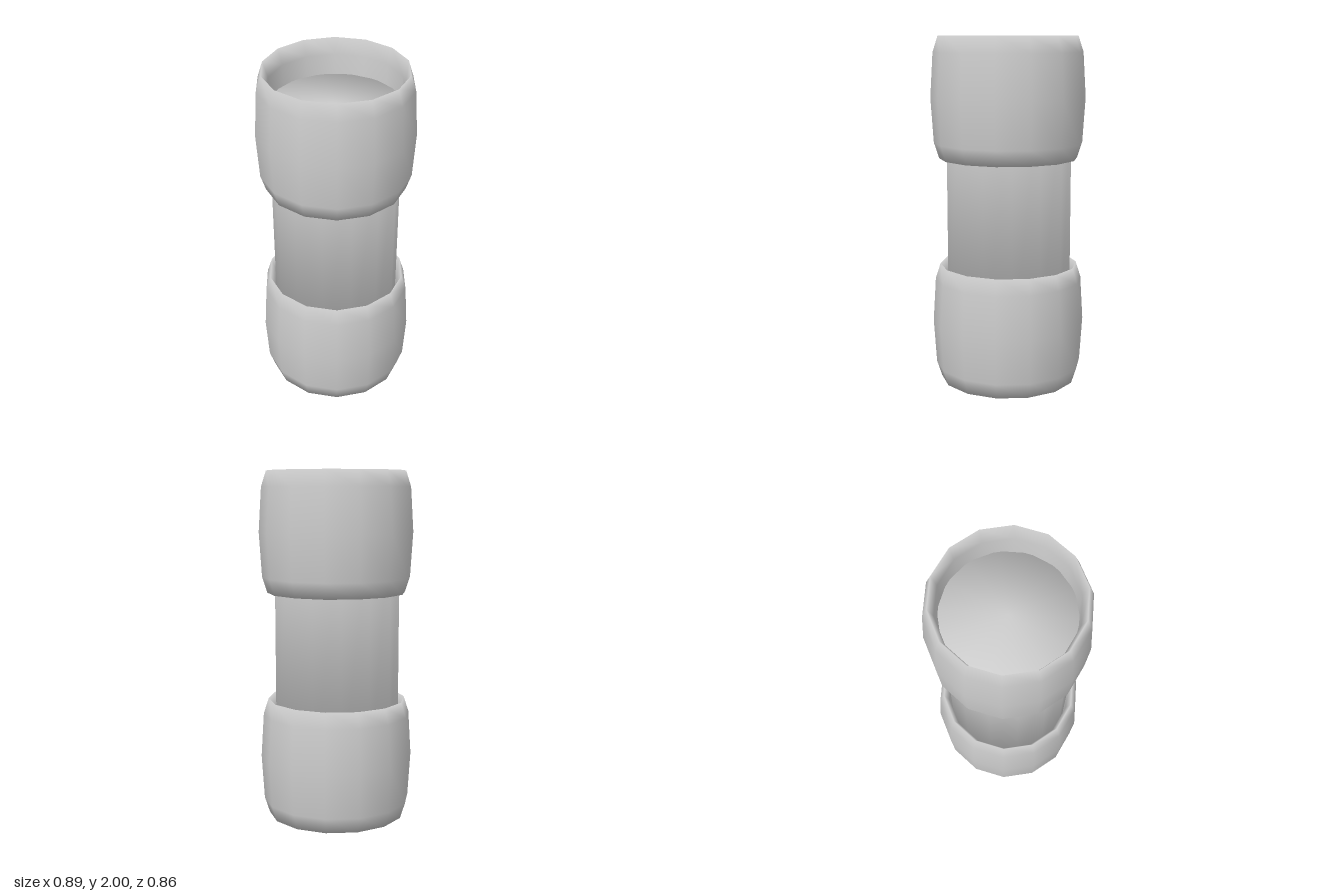
import * as THREE from 'three';

const SIDES = 14;

export function createModel() {
  const group = new THREE.Group();
  const grey = new THREE.MeshStandardMaterial({ color: 0xcccccc });
  grey.name = 'light grey';

  // Bulging collar: closed ring profile, up the outside and down the inside
  const profile = [
    [0.36, 0.345], [0.37, 0.09], [0.398, 0], [0.427, 0.09], [0.443, 0.345],
    [0.427, 0.6], [0.398, 0.69], [0.37, 0.6], [0.36, 0.345],
  ].map(([r, y]) => new THREE.Vector2(r, y));
  const collarGeometry = new THREE.LatheGeometry(profile, SIDES, Math.PI / 2);
  for (const [name, y] of [['lowerCollar', 0], ['upperCollar', 1.31]]) {
    const collar = new THREE.Mesh(collarGeometry, grey);
    collar.name = name;
    collar.position.y = y;
    group.add(collar);
  }

  // Inner pipe, closed at both ends, with normals rounded over the rims
  const radius = 0.362;
  const pipeGeometry = new THREE.CylinderGeometry(radius, radius, 1.59, SIDES);
  const position = pipeGeometry.attributes.position;
  const n = new THREE.Vector3();
  for (let i = 0; i < position.count; i++) {
    n.set(position.getX(i) / radius, Math.sign(position.getY(i)), position.getZ(i) / radius).normalize();
    pipeGeometry.attributes.normal.setXYZ(i, n.x, n.y, n.z);
  }
  const pipe = new THREE.Mesh(pipeGeometry, grey);
  pipe.name = 'pipe';
  pipe.position.y = 1;
  group.add(pipe);

  return group;
}
